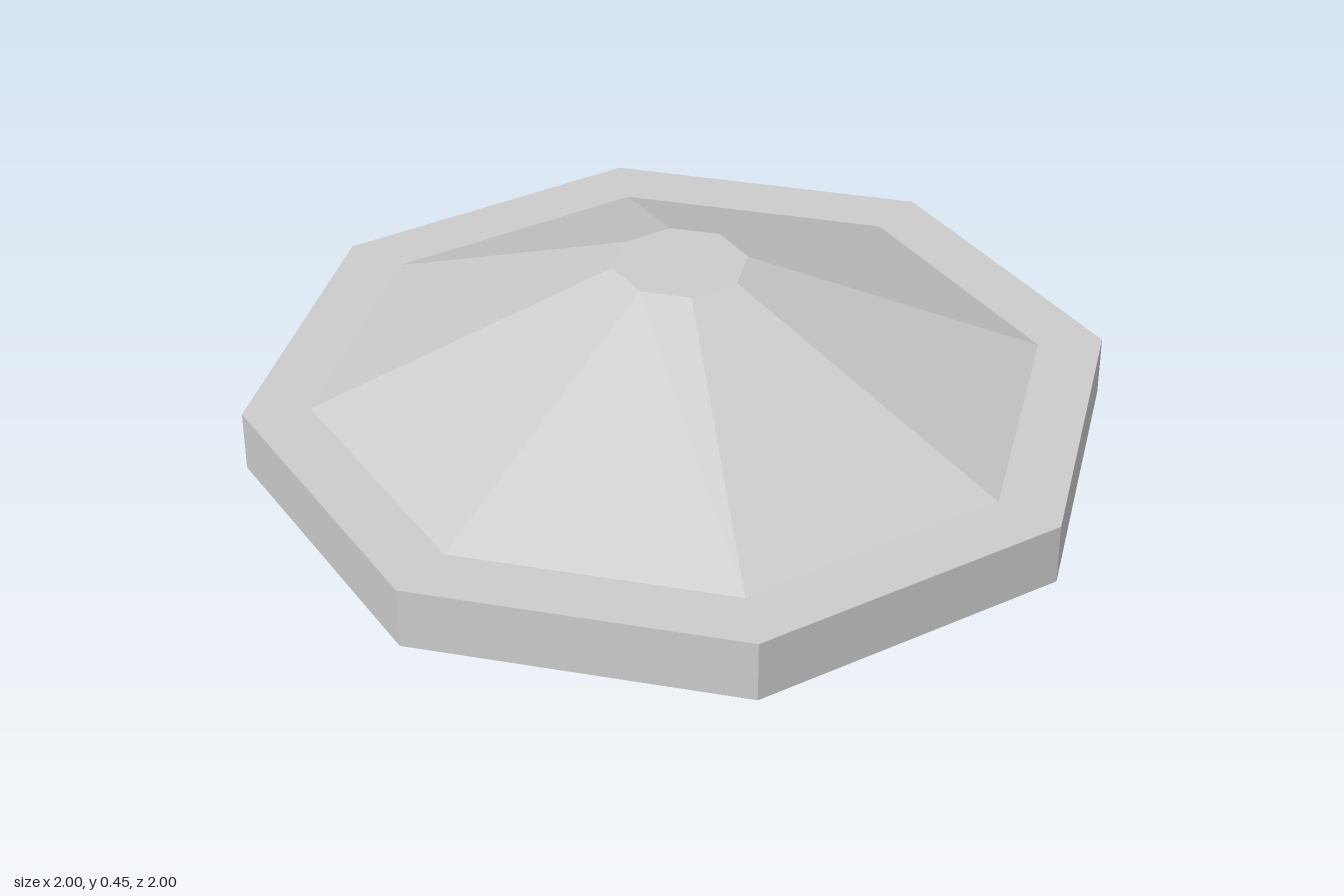
import * as THREE from 'three';

const SIDES = 8;
const RIM_HEIGHT = 0.145;

// Faceted octagonal solid swept from a [radius, height] profile, bottom to top
function facetedPart(name, profile, material) {
  const points = profile.map(([r, y]) => new THREE.Vector2(r, y));
  const geometry = new THREE.LatheGeometry(points, SIDES).toNonIndexed();
  geometry.computeVertexNormals();
  const mesh = new THREE.Mesh(geometry, material);
  mesh.name = name;
  return mesh;
}

export function createModel() {
  const group = new THREE.Group();
  group.name = 'octagonalCap';
  const material = new THREE.MeshStandardMaterial({ color: 0xcccccc, flatShading: true });

  // Flat slab: underside, vertical edge and the ledge around the cone
  group.add(facetedPart('baseSlab', [[0, 0], [1, 0], [1, RIM_HEIGHT], [0.846, RIM_HEIGHT]], material));

  // Truncated pyramid with a small flat top
  group.add(facetedPart('slopedTop', [[0.846, RIM_HEIGHT], [0.154, 0.45], [0, 0.45]], material));

  return group;
}
